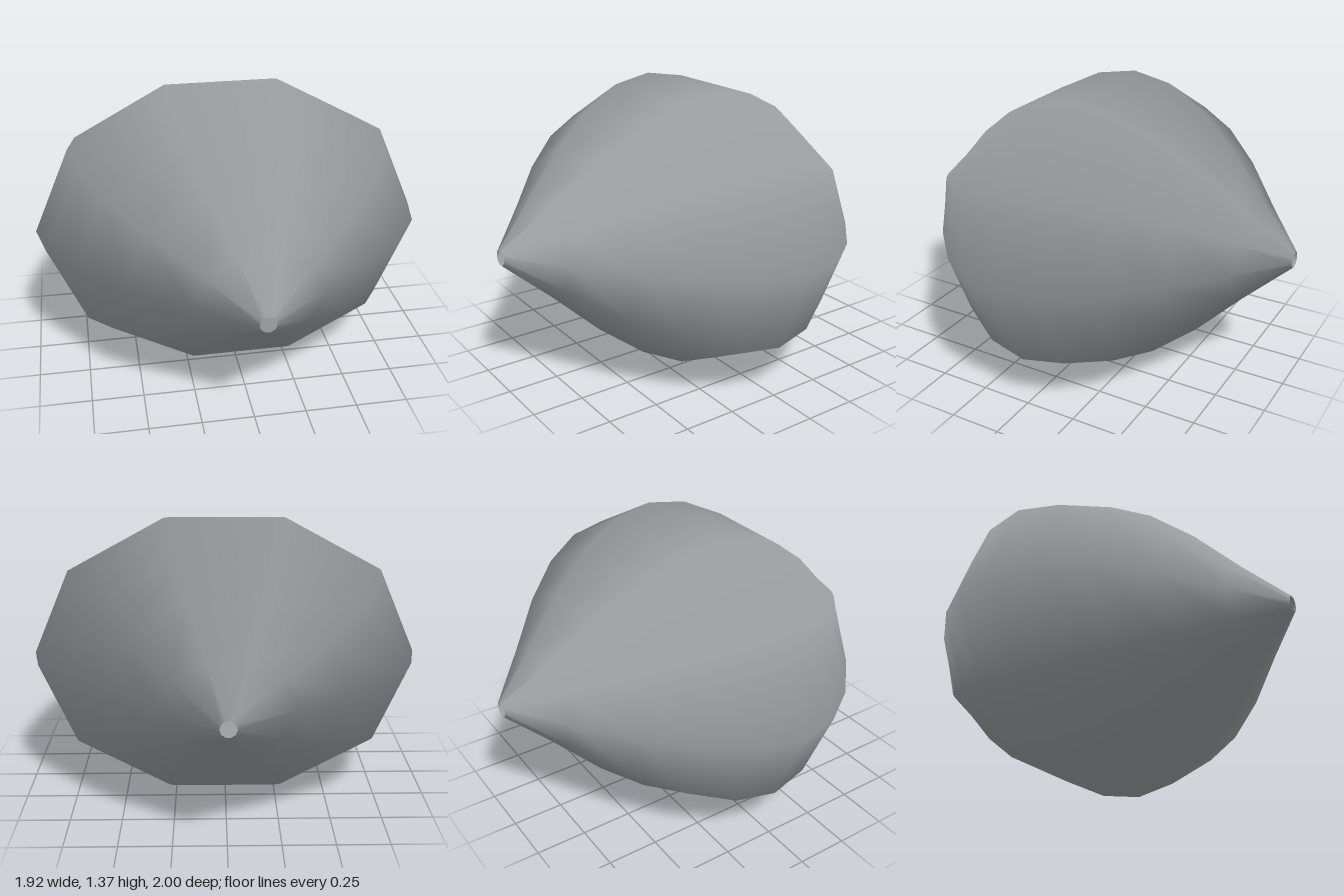
import * as THREE from 'three';

const LENGTH = 2, WIDTH = 0.96, HEIGHT = 0.72, TIP = 0.038;

// Ten-sided open tube along z, swelling by a cosine and ending in small round holes
function spindleGeometry() {
  const geo = new THREE.CylinderGeometry(1, 1, LENGTH, 10, 10, true, Math.PI / 2);
  geo.rotateX(Math.PI / 2);
  const pos = geo.attributes.position, normal = geo.attributes.normal;
  const n = new THREE.Vector3();
  for (let i = 0; i < pos.count; i++) {
    const x = pos.getX(i), y = pos.getY(i), z = pos.getZ(i);
    const swell = Math.cos(z * Math.PI / 2);
    pos.setXY(i, x * Math.max(WIDTH * swell, TIP), y * Math.max(HEIGHT * swell, TIP));
    // Smooth shading runs around the tube, leaning slightly forward
    n.set(x, y, 0.2).normalize();
    normal.setXYZ(i, n.x, n.y, n.z);
  }
  return geo;
}

export function createModel() {
  const group = new THREE.Group();
  group.name = 'spindle';

  const grey = new THREE.MeshStandardMaterial({ color: 0x989c9f, side: THREE.DoubleSide });
  grey.name = 'grey';

  // Hollow shell resting on its flat lower side
  const shell = new THREE.Mesh(spindleGeometry(), grey);
  shell.name = 'shell';
  shell.position.y = HEIGHT * Math.sin(Math.PI * 0.4);
  group.add(shell);

  return group;
}
